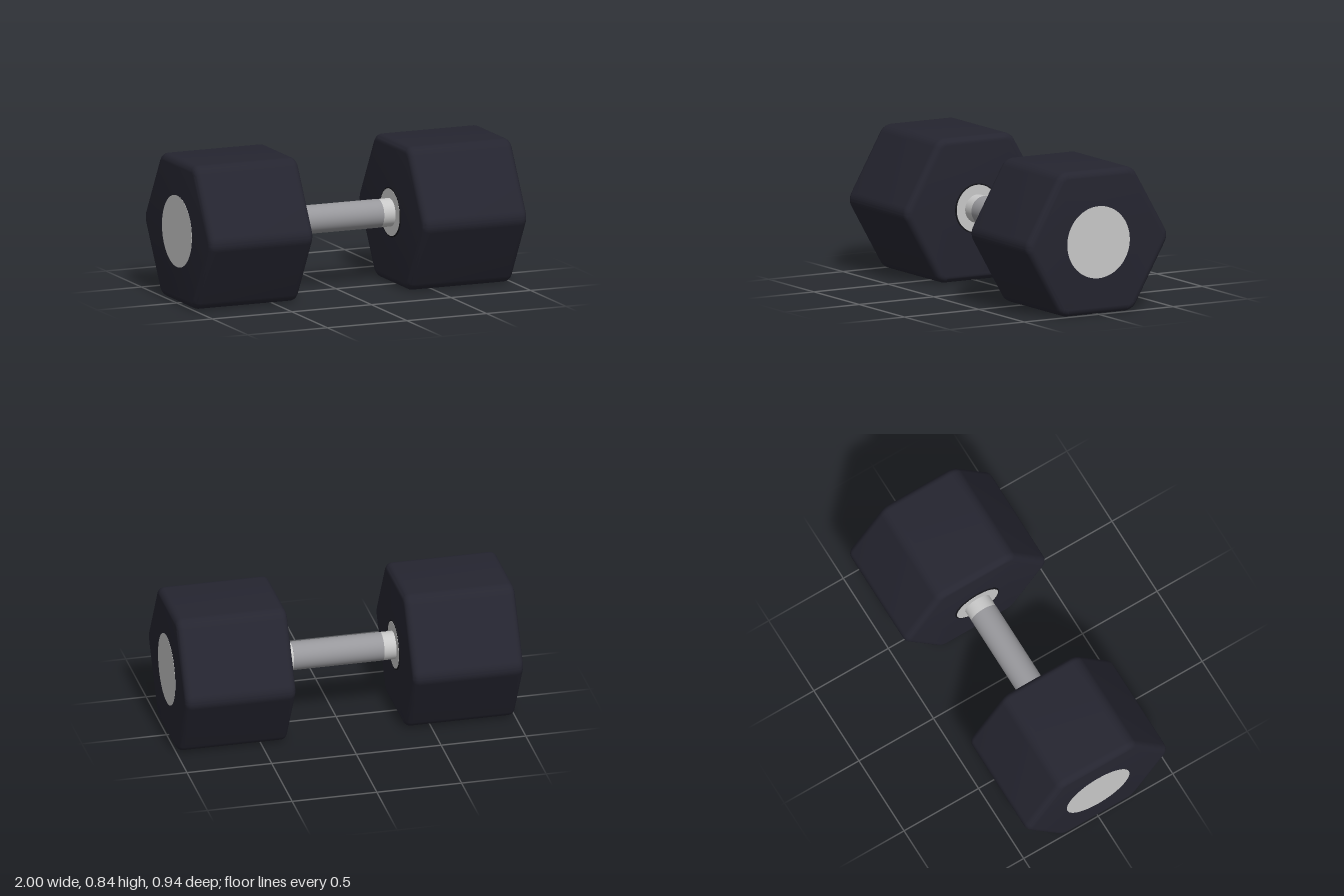
import * as THREE from 'three';
import { toCreasedNormals } from 'three/addons/utils/BufferGeometryUtils.js';

const CENTRE_Y = 0.42;

const material = (name, color) => {
  const m = new THREE.MeshStandardMaterial({ color });
  m.name = name;
  return m;
};

export function createModel() {
  const rubber = material('dark rubber', 0x252530);
  const trim = material('black trim', 0x15151a);
  const silver = material('polished steel', 0xc8c8c8);
  const grip = material('grip steel', 0x98989c);

  const model = new THREE.Group();
  model.name = 'dumbbell';
  const body = new THREE.Group();
  body.name = 'body';
  body.position.y = CENTRE_Y;
  model.add(body);

  const add = (parent, name, geometry, mat) => {
    const mesh = new THREE.Mesh(geometry, mat);
    mesh.name = name;
    parent.add(mesh);
  };

  // Cylinder lying along x between two positions
  const rod = (radius, x0, x1) =>
    new THREE.CylinderGeometry(radius, radius, x1 - x0, 64)
      .rotateZ(-Math.PI / 2)
      .translate((x0 + x1) / 2, 0, 0);

  // Hexagonal head with rounded corners and rounded rims
  const bevel = 0.04, corner = 0.085, inner = 0.345, outer = 0.999;
  const reach = (CENTRE_Y - corner) / Math.cos(Math.PI / 6);
  const hexagon = new THREE.Shape();
  for (let k = 0; k < 6; k++) {
    const a = (k * Math.PI) / 3;
    hexagon.absarc(reach * Math.cos(a), reach * Math.sin(a), corner - bevel,
      a - Math.PI / 6, a + Math.PI / 6, false);
  }
  hexagon.closePath();
  const headGeometry = toCreasedNormals(
    new THREE.ExtrudeGeometry(hexagon, {
      depth: outer - inner - 2 * bevel,
      bevelSize: bevel, bevelThickness: bevel, bevelSegments: 6, curveSegments: 8,
    }).rotateY(Math.PI / 2).translate(inner + bevel, 0, 0), 0.6);

  // Each end: head, end cap, collar and the smooth end of the handle
  [['left', 0], ['right', Math.PI]].forEach(([name, turn]) => {
    const end = new THREE.Group();
    end.name = name + 'End';
    end.rotation.y = turn;
    add(end, 'head', headGeometry, rubber);
    add(end, 'endCap', rod(0.21, 0.993, 1.0), silver);
    add(end, 'collarRim', rod(0.145, 0.339, 0.36), trim);
    add(end, 'collarFace', rod(0.138, 0.338, 0.35), silver);
    add(end, 'handleSleeve', rod(0.082, 0.265, 0.36), silver);
    body.add(end);
  });

  // Handle
  add(body, 'handleGrip', rod(0.083, -0.267, 0.267), grip);
  return model;
}
